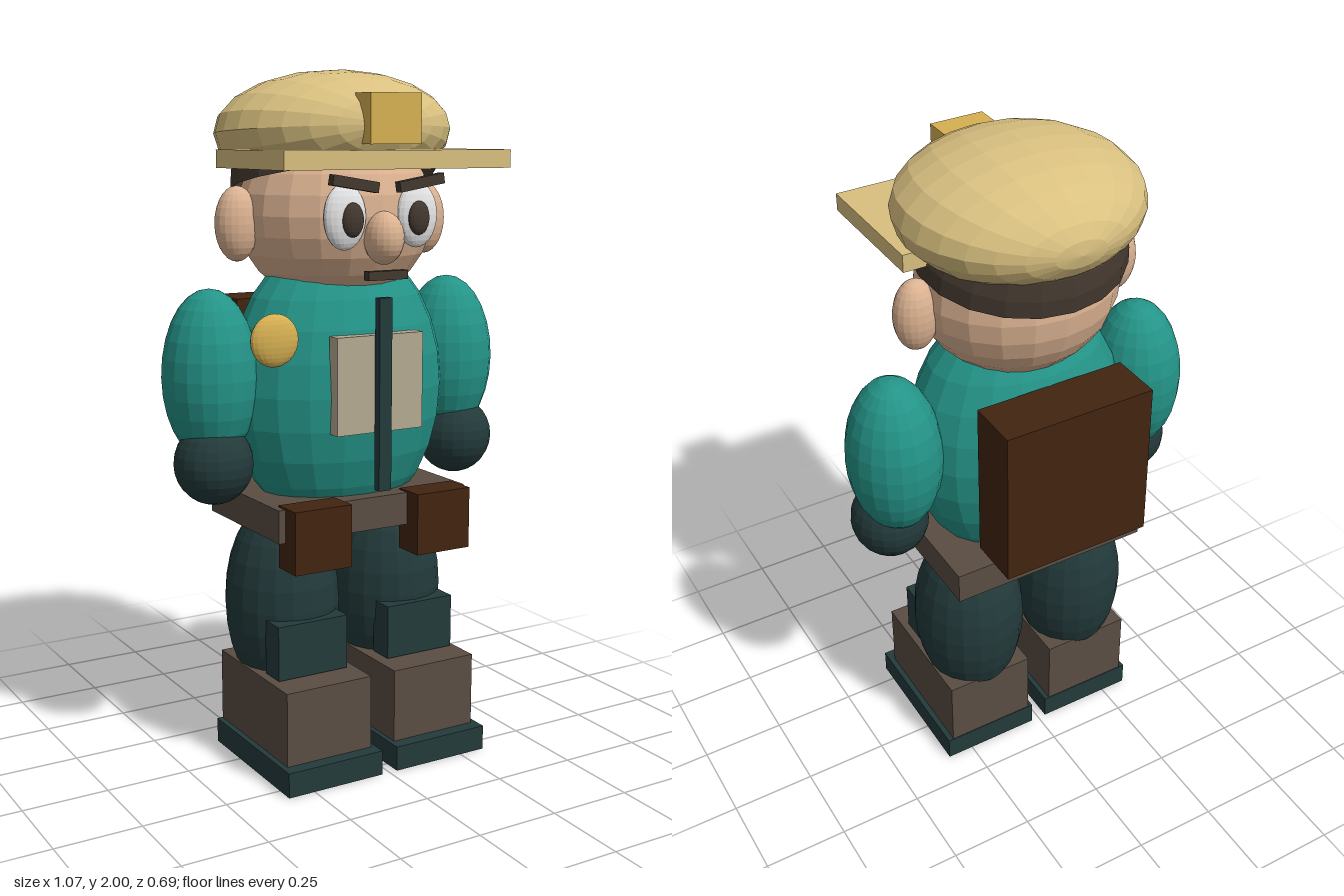
import * as THREE from 'three';

function mat(name, color) {
  const m = new THREE.MeshStandardMaterial({ color, flatShading: true });
  m.name = name;
  return m;
}

export function createModel() {
  const teal = mat('teal', 0x249488);
  const skin = mat('skin', 0xdbb291);
  const khaki = mat('khaki', 0xd9c080);
  const gold = mat('gold', 0xd6b052);
  const slate = mat('slate', 0x233a3b);
  const brown = mat('boot brown', 0x5a4d43);
  const leather = mat('leather', 0x422410);
  const canvas = mat('canvas', 0xb5aa91);
  const white = mat('eye white', 0xe6e6e6);
  const hair = mat('hair', 0x43382f);
  hair.side = THREE.DoubleSide;

  const model = new THREE.Group();
  const add = (name, geometry, material, x, y, z) => {
    const mesh = new THREE.Mesh(geometry, material);
    mesh.name = name;
    mesh.position.set(x, y, z);
    model.add(mesh);
    return mesh;
  };
  // Box given by its lower and upper corners
  const box = (name, material, [x0, y0, z0], [x1, y1, z1]) =>
    add(name, new THREE.BoxGeometry(x1 - x0, y1 - y0, z1 - z0), material,
      (x0 + x1) / 2, (y0 + y1) / 2, (z0 + z1) / 2);
  // Faceted ellipsoid given by its centre and radii
  const ball = (name, material, [x, y, z], [rx, ry, rz], seg = 20) =>
    add(name, new THREE.SphereGeometry(1, seg, Math.round(seg * 0.7)).scale(rx, ry, rz),
      material, x, y, z);

  // Torso and chest details
  ball('torso', teal, [0, 1.1, 0], [0.335, 0.43, 0.235]);
  box('chestPanel', canvas, [-0.14, 1.0, 0.2], [0.14, 1.275, 0.243]);
  box('zipper', slate, [-0.02, 0.835, 0.245], [0.02, 1.38, 0.27]);
  ball('shoulderBadge', gold, [-0.31, 1.275, 0.197], [0.073, 0.073, 0.027]);
  box('belt', brown, [-0.31, 0.71, -0.212], [0.31, 0.805, 0.215]);
  box('backpack', leather, [-0.228, 0.865, -0.35], [0.228, 1.345, -0.19]);

  // Head and cap
  ball('head', skin, [0, 1.6, -0.01], [0.29, 0.262, 0.262]);
  ball('nose', skin, [0, 1.543, 0.255], [0.055, 0.073, 0.062]);
  box('mouth', hair, [-0.063, 1.43, 0.255], [0.063, 1.455, 0.28]);
  const hairCap = add('hair', new THREE.SphereGeometry(1, 20, 8, 0, Math.PI * 2, 0, Math.PI / 2)
    .scale(0.3, 0.25, 0.285), hair, 0, 1.69, -0.02);
  hairCap.rotation.x = -0.2;
  const crown = add('capCrown', new THREE.SphereGeometry(1, 20, 14).rotateX(Math.PI / 2)
    .scale(0.347, 0.17, 0.313), khaki, 0, 1.83, -0.022);
  crown.rotation.x = -0.05;
  box('capBrim', khaki, [-0.357, 1.73, -0.05], [0.357, 1.78, 0.345]);
  box('capBadge', gold, [-0.08, 1.795, 0.235], [0.08, 1.93, 0.315]);

  // Paired parts
  for (const s of [-1, 1]) {
    const side = s > 0 ? 'left' : 'right';
    const pairBall = (name, m, [x, y, z], r, seg) => ball(side + name, m, [s * x, y, z], r, seg);
    const pairBox = (name, m, [x0, y0, z0], [x1, y1, z1]) => {
      const b = box(side + name, m, [x0, y0, z0], [x1, y1, z1]);
      b.position.x *= s;
      return b;
    };
    // Face
    pairBall('Ear', skin, [0.312, 1.577, -0.017], [0.064, 0.105, 0.053]);
    pairBall('Eye', white, [0.116, 1.602, 0.24], [0.065, 0.09, 0.03]);
    pairBall('Pupil', hair, [0.106, 1.595, 0.267], [0.033, 0.047, 0.018], 16);
    const brow = pairBox('Eyebrow', hair, [0.033, 1.677, 0.26], [0.178, 1.706, 0.285]);
    brow.rotation.z = s * 0.16;
    // Arm
    pairBall('Arm', teal, [0.4, 1.155, -0.02], [0.136, 0.246, 0.144]);
    pairBall('Hand', slate, [0.41, 0.913, 0.015], [0.113, 0.118, 0.115]);
    // Leg
    pairBox('Pouch', leather, [0.11, 0.63, 0.175], [0.29, 0.81, 0.272]);
    pairBall('Leg', slate, [0.178, 0.47, -0.018], [0.167, 0.305, 0.178]);
    pairBox('KneePad', slate, [0.07, 0.295, 0.1], [0.295, 0.455, 0.18]);
    pairBox('Boot', brown, [0.04, 0.07, -0.15], [0.315, 0.29, 0.265]);
    pairBox('Sole', slate, [0.025, 0, -0.152], [0.332, 0.073, 0.305]);
  }
  return model;
}
